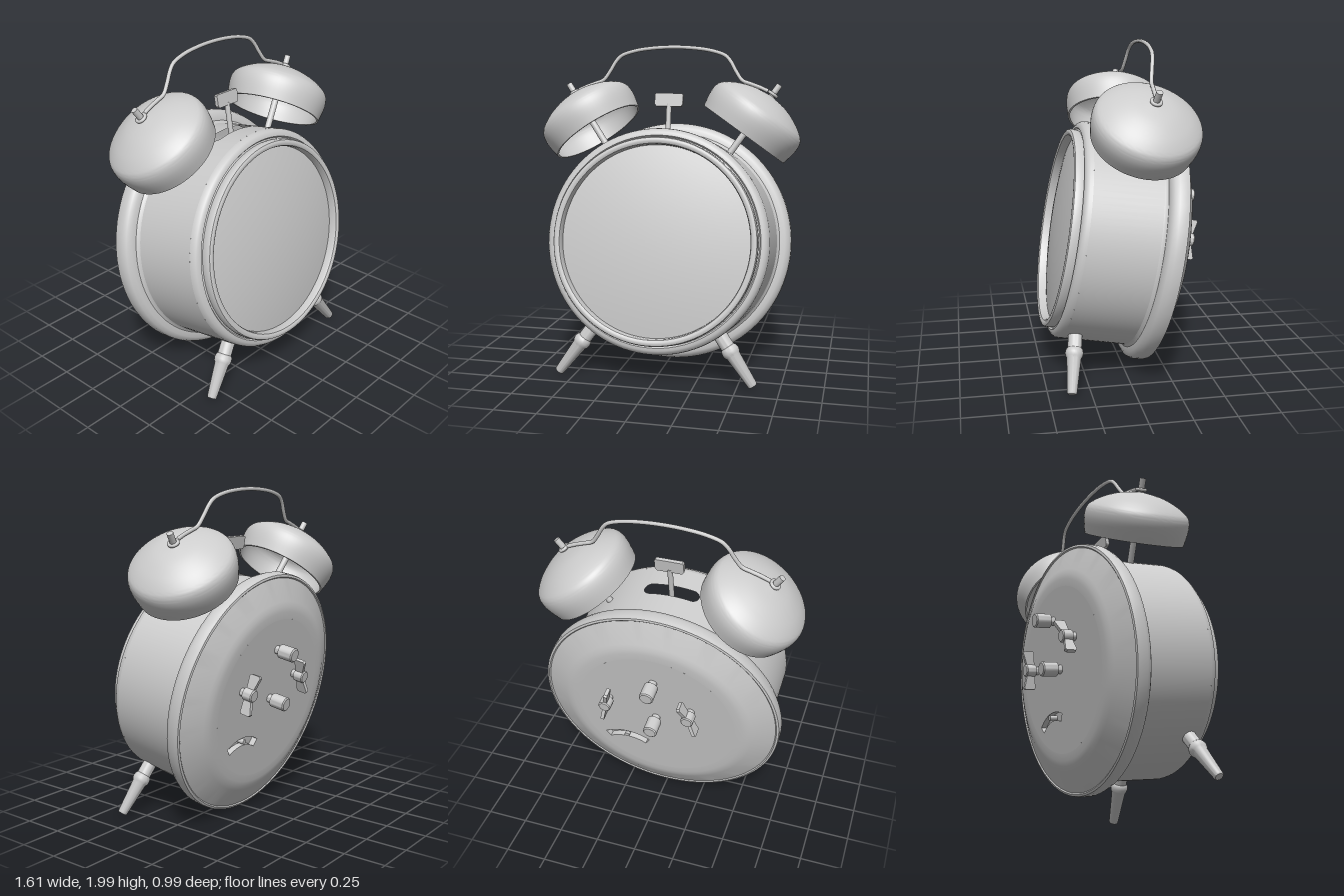
import * as THREE from 'three';
import { toCreasedNormals } from 'three/addons/utils/BufferGeometryUtils.js';
import { ParametricGeometry } from 'three/addons/geometries/ParametricGeometry.js';

const grey = new THREE.MeshStandardMaterial({ color: 0xcccccc });
const greyThin = new THREE.MeshStandardMaterial({ color: 0xcccccc, side: THREE.DoubleSide });

function add(parent, name, geometry, x = 0, y = 0, z = 0, material = grey) {
  const mesh = new THREE.Mesh(geometry, material);
  mesh.name = name;
  mesh.position.set(x, y, z);
  parent.add(mesh);
  return mesh;
}

// Turned part around y; profile is [radius, height] going upwards
function turned(profile, segments = 48, start = 0, length = Math.PI * 2, crease = 0.6) {
  const points = profile.map(([r, h]) => new THREE.Vector2(r, h));
  return toCreasedNormals(new THREE.LatheGeometry(points, segments, start, length), crease);
}

// Turned part around the clock's own front-to-back axis
const axial = (...args) => turned(...args).rotateX(Math.PI / 2);

const R = 0.67;                               // case radius
const WALL_BACK = 0.09, WALL_FRONT = 0.53;
const SLOT = { z: 0.34, half: 0.17, width: 0.042 };
const MID = 0.287;                            // plane of bells and handle

function addCase(clock) {
  // Back cover with its flared rim
  add(clock, 'backCover', axial([
    [0.495, -0.082], [0.54, -0.081], [0.57, -0.076], [0.6, -0.065], [0.728, -0.004], [0.735, -0.01],
    [0.748, -0.006], [0.752, 0.01], [0.752, 0.055], [0.742, 0.08], [0.718, 0.097], [0.685, 0.1],
    [0.676, 0.108], [0.67, 0.12]], 96), 0, 0, 0, greyThin);

  // Cylindrical wall, open at the top for the hammer slot
  const gap = SLOT.half / R;
  add(clock, 'caseWall', axial([[R, WALL_BACK], [R, WALL_FRONT]], 96, Math.PI + gap, 2 * (Math.PI - gap)),
    0, 0, 0, greyThin);
  for (const side of [-1, 1]) {
    const strip = (a, b, target) => {
      const s = SLOT.half * Math.sin((0.5 - a) * Math.PI);
      const end = Math.max(0, (Math.abs(s) - SLOT.half + SLOT.width) / SLOT.width);
      const edge = SLOT.z + side * SLOT.width * Math.sqrt(Math.max(0, 1 - end * end));
      const from = side < 0 ? WALL_BACK : edge, to = side < 0 ? edge : WALL_FRONT;
      target.set(R * Math.sin(s / R), R * Math.cos(s / R), from + (to - from) * b);
    };
    add(clock, side < 0 ? 'wallBehindSlot' : 'wallBeforeSlot', new ParametricGeometry(strip, 40, 4), 0, 0, 0, greyThin);
  }

  // Front shoulder and bezel ring
  add(clock, 'bezel', axial([
    [R, WALL_FRONT], [0.667, 0.548], [0.657, 0.564], [0.642, 0.574], [0.625, 0.576], [0.617, 0.566],
    [0.609, 0.57], [0.612, 0.585], [0.612, 0.612], [0.607, 0.623], [0.597, 0.628], [0.585, 0.628],
    [0.574, 0.622], [0.569, 0.61], [0.568, 0.565]], 96), 0, 0, 0, greyThin);

  // Slightly domed front glass
  const dome = [];
  for (let i = 0; i <= 12; i++) {
    const r = 0.569 * (1 - i / 12);
    dome.push([r, 0.572 + 0.05 * (1 - (r / 0.569) ** 2)]);
  }
  add(clock, 'frontGlass', axial(dome, 96));
}

function addBack(clock) {
  // Flat plate with a curved adjuster slot
  const plate = new THREE.Shape().absarc(0, 0, 0.497, 0, Math.PI * 2);
  const slot = new THREE.Path();
  slot.absarc(0.21, -0.48, 0.27, 1.0, Math.PI - 1.0, false);
  slot.absarc(0.21, -0.48, 0.22, Math.PI - 1.0, 1.0, true);
  slot.closePath();
  plate.holes.push(slot);
  add(clock, 'backPlate', new THREE.ExtrudeGeometry(plate,
    { depth: 0.04, bevelEnabled: false, curveSegments: 64 }), 0, 0, -0.082);
  add(clock, 'slotFloor', new THREE.CircleGeometry(0.49, 48), 0, 0, -0.046, greyThin);
  add(clock, 'adjusterPin', new THREE.CylinderGeometry(0.016, 0.016, 0.05, 16).rotateX(Math.PI / 2), 0.21, -0.235, -0.068);

  // Two setting knobs
  for (const y of [0.31, 0]) {
    add(clock, 'settingKnob', axial([
      [0, -0.212], [0.036, -0.212], [0.043, -0.206], [0.043, -0.115], [0.026, -0.112], [0.026, -0.07]], 32),
      0, y, 0, greyThin);
  }

  // Two winding keys with paired wings
  for (const [x, y, turn] of [[0.298, 0.1, 0.2], [-0.225, 0.12, -0.4]]) {
    const key = new THREE.Group();
    key.name = 'windingKey';
    key.position.set(x, y, 0);
    key.rotation.z = turn;
    clock.add(key);
    add(key, 'keyHub', axial([
      [0, -0.172], [0.032, -0.172], [0.038, -0.166], [0.038, -0.108], [0.025, -0.105], [0.025, -0.07]], 32),
      0, 0, 0, greyThin);
    const wing = new THREE.Shape([[0, 0.03], [0, 0.07], [0.11, 0.1], [0.12, 0.09], [0.12, 0.035], [0.11, 0.028]]
      .map(([a, b]) => new THREE.Vector2(a, b)));
    for (const side of [-1, 1]) {
      const mesh = add(key, 'keyWing', new THREE.ExtrudeGeometry(wing, { depth: 0.022, bevelEnabled: false }), 0, 0, -0.082);
      mesh.geometry.translate(0, 0, -0.011).rotateY(Math.PI / 2);
      mesh.geometry.rotateZ(Math.PI / 2);
      // lay the wing out along the key's height, facing backwards
      const p = mesh.geometry.attributes.position;
      for (let i = 0; i < p.count; i++) {
        const across = p.getY(i), depth = -p.getX(i), out = -p.getZ(i);
        p.setXYZ(i, across * side, out * side, depth < 0 ? depth : -depth);
      }
      mesh.geometry.computeVertexNormals();
      mesh.material = greyThin;
    }
  }
}

function addBells(clock) {
  // Hollow shell: outer curve down from the crown, then the inside
  const outer = new THREE.SplineCurve([[0.298, 0], [0.312, 0.07], [0.315, 0.12], [0.306, 0.16], [0.28, 0.19],
    [0.215, 0.231], [0.12, 0.267], [0, 0.285]].map(([r, h]) => new THREE.Vector2(r, h))).getPoints(36);
  const shell = outer.map(p => [Math.max(0, p.x), p.y]);
  const inside = shell.map(([r, h]) => [r * 0.96, h * 0.96]).reverse();
  const bellGeometry = turned([...inside, ...shell], 64);

  for (const side of [-1, 1]) {
    const bell = new THREE.Group();
    bell.name = side > 0 ? 'leftBell' : 'rightBell';
    bell.position.z = MID;
    bell.rotation.z = -side * THREE.MathUtils.degToRad(34.6);
    clock.add(bell);
    add(bell, 'bellShell', bellGeometry, 0, 0.809, 0, greyThin);
    add(bell, 'bellStem', new THREE.CylinderGeometry(0.02, 0.02, 0.44, 20), 0, 0.865);
    add(bell, 'bellPost', new THREE.CylinderGeometry(0.019, 0.019, 0.1, 20), 0, 1.125);
    add(bell, 'handleEyelet', new THREE.TorusGeometry(0.026, 0.01, 10, 28).rotateX(Math.PI / 2), 0, 1.107);
  }
}

function addHandle(clock) {
  const half = [[0.6, 0.93], [0.55, 0.953], [0.49, 0.975], [0.44, 0.995], [0.4, 1.05], [0.365, 1.11], [0.33, 1.147],
    [0.24, 1.178], [0.12, 1.195]];
  const points = [...half.map(([x, y]) => [-x, y]), [0, 1.2], ...half.slice().reverse()]
    .map(([x, y]) => new THREE.Vector3(x, y, MID));
  add(clock, 'handle', new THREE.TubeGeometry(new THREE.CatmullRomCurve3(points), 120, 0.012, 10));
}

function addHammer(clock) {
  add(clock, 'hammerStem', new THREE.CylinderGeometry(0.016, 0.016, 0.36, 16), 0, 0.66, SLOT.z);
  const head = new THREE.Shape([[-0.078, -0.04], [0.078, -0.04], [0.088, -0.025], [0.088, 0.032], [0.08, 0.04],
    [-0.08, 0.04], [-0.088, 0.032], [-0.088, -0.025]].map(([x, y]) => new THREE.Vector2(x, y)));
  add(clock, 'hammerHead', new THREE.ExtrudeGeometry(head, { depth: 0.024, bevelEnabled: false }), 0, 0.864, SLOT.z - 0.012);
}

function addLegs(clock) {
  const leg = turned([[0.042, 0.62], [0.042, 0.745], [0.05, 0.755], [0.054, 0.775], [0.05, 0.795], [0.043, 0.805],
    [0.029, 1.008], [0.024, 1.016], [0, 1.016]], 32);
  for (const side of [-1, 1]) {
    const mesh = add(clock, side > 0 ? 'leftLeg' : 'rightLeg', leg, 0, 0, 0.46);
    mesh.rotation.z = -side * THREE.MathUtils.degToRad(144);
  }
}

export function createModel() {
  const model = new THREE.Group();
  model.name = 'alarmClock';
  // Everything is built upright, then leaned back
  const clock = new THREE.Group();
  clock.name = 'clock';
  clock.position.set(0, 0.75, -0.23);
  clock.rotation.x = -THREE.MathUtils.degToRad(10);
  model.add(clock);
  addCase(clock);
  addBack(clock);
  addBells(clock);
  addHandle(clock);
  addHammer(clock);
  addLegs(clock);
  return model;
}
